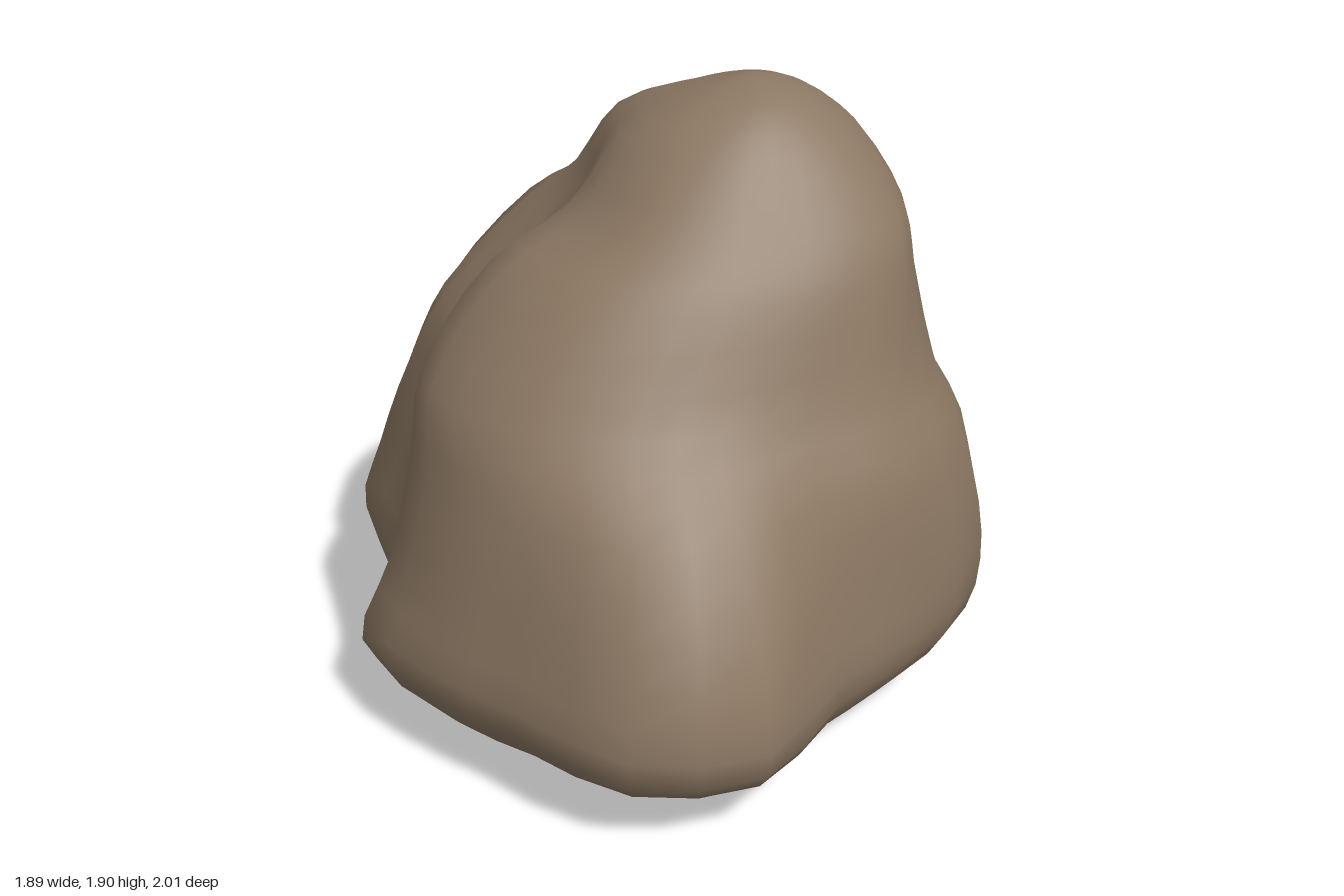
import * as THREE from 'three';

const SIDES = 32, ROWS = 33;

// Directions of the section points in degrees, turning from +x towards +z;
// 236 follows the ridge that runs from the summit to the back corner
const DIRECTIONS = [0, 22, 45, 67, 90, 112, 135, 157, 180, 202, 225, 236, 262, 292, 315, 337];

// Cross-sections: height, centre x and z, and one radius for each direction
const base = [0.76, 0.76, 0.66, 0.64, 0.72, 0.74, 0.69, 0.72, 0.77, 0.72, 0.92, 0.98, 0.83, 0.78, 0.82, 0.78];
const sections = [
  { y: 0.01, x: 0, z: -0.09, r: base.map((r) => r * 0.72) },
  { y: 0.09, x: 0, z: 0, r: base },
  { y: 0.28, x: 0, z: 0, r: [0.92, 0.94, 0.82, 0.79, 0.99, 1.00, 0.87, 0.88, 0.95, 0.86, 1.15, 1.21, 0.95, 0.91, 0.99, 0.94] },
  { y: 0.55, x: 0, z: 0, r: [0.94, 0.97, 0.83, 0.76, 0.96, 0.96, 0.83, 0.84, 0.85, 0.79, 1.07, 1.12, 0.92, 0.90, 1.02, 0.97] },
  { y: 0.88, x: 0, z: 0, r: [0.92, 0.89, 0.79, 0.68, 0.75, 0.79, 0.75, 0.75, 0.77, 0.70, 0.93, 1.00, 0.84, 0.84, 0.91, 0.95] },
  { y: 1.10, x: 0, z: -0.1, r: [0.79, 0.83, 0.78, 0.67, 0.65, 0.68, 0.71, 0.72, 0.71, 0.62, 0.76, 0.85, 0.74, 0.72, 0.73, 0.76] },
  { y: 1.40, x: 0.15, z: -0.15, r: [0.59, 0.63, 0.66, 0.60, 0.56, 0.58, 0.63, 0.64, 0.63, 0.46, 0.57, 0.68, 0.59, 0.54, 0.48, 0.54] },
  { y: 1.55, x: 0.22, z: -0.15, r: [0.49, 0.53, 0.56, 0.51, 0.47, 0.48, 0.50, 0.47, 0.46, 0.41, 0.50, 0.51, 0.41, 0.40, 0.38, 0.43] },
  { y: 1.75, x: 0.26, z: -0.15, r: [0.34, 0.36, 0.37, 0.35, 0.33, 0.33, 0.33, 0.34, 0.34, 0.34, 0.39, 0.37, 0.31, 0.30, 0.29, 0.31] },
  { y: 1.86, x: 0.29, z: -0.11, r: new Array(16).fill(0.17) },
];

// Closed smooth outline of one section, resampled to SIDES points
function outline({ x, y, z, r }) {
  const points = r.map((radius, k) => {
    const a = THREE.MathUtils.degToRad(DIRECTIONS[k]);
    return new THREE.Vector3(x + radius * Math.cos(a), y, z + radius * Math.sin(a));
  });
  const curve = new THREE.CatmullRomCurve3(points, true);
  return Array.from({ length: SIDES }, (_, j) => curve.getPoint(j / SIDES));
}

// Skin the sections with smooth columns running from the underside to the summit
function boulderGeometry() {
  const rings = sections.map(outline);
  const bottom = new THREE.Vector3(0, 0, -0.05);
  const summit = new THREE.Vector3(0.3, 1.905, -0.11);
  const positions = [...bottom.toArray()];
  const columns = Array.from({ length: SIDES }, (_, j) =>
    new THREE.CatmullRomCurve3([bottom, ...rings.map((ring) => ring[j]), summit]));
  for (let i = 1; i < ROWS; i++) {
    for (const column of columns) {
      const p = column.getPoint(i / ROWS);
      positions.push(p.x, Math.max(0, p.y), p.z);
    }
  }
  positions.push(...summit.toArray());

  const index = [];
  const last = positions.length / 3 - 1;
  const at = (i, j) => 1 + i * SIDES + (j % SIDES);
  for (let j = 0; j < SIDES; j++) {
    index.push(0, at(0, j), at(0, j + 1));
    for (let i = 0; i < ROWS - 2; i++) {
      const a = at(i, j), b = at(i, j + 1), c = at(i + 1, j), d = at(i + 1, j + 1);
      index.push(a, c, b, b, c, d);
    }
    index.push(at(ROWS - 2, j), last, at(ROWS - 2, j + 1));
  }

  const geometry = new THREE.BufferGeometry();
  geometry.setAttribute('position', new THREE.Float32BufferAttribute(positions, 3));
  geometry.setIndex(index);
  geometry.computeVertexNormals();
  return geometry;
}

export function createModel() {
  const stone = new THREE.MeshStandardMaterial({ color: 0x8c7863 });
  stone.name = 'brown stone';

  const boulder = new THREE.Mesh(boulderGeometry(), stone);
  boulder.name = 'boulder';

  const group = new THREE.Group();
  group.name = 'rock';
  group.add(boulder);
  return group;
}
